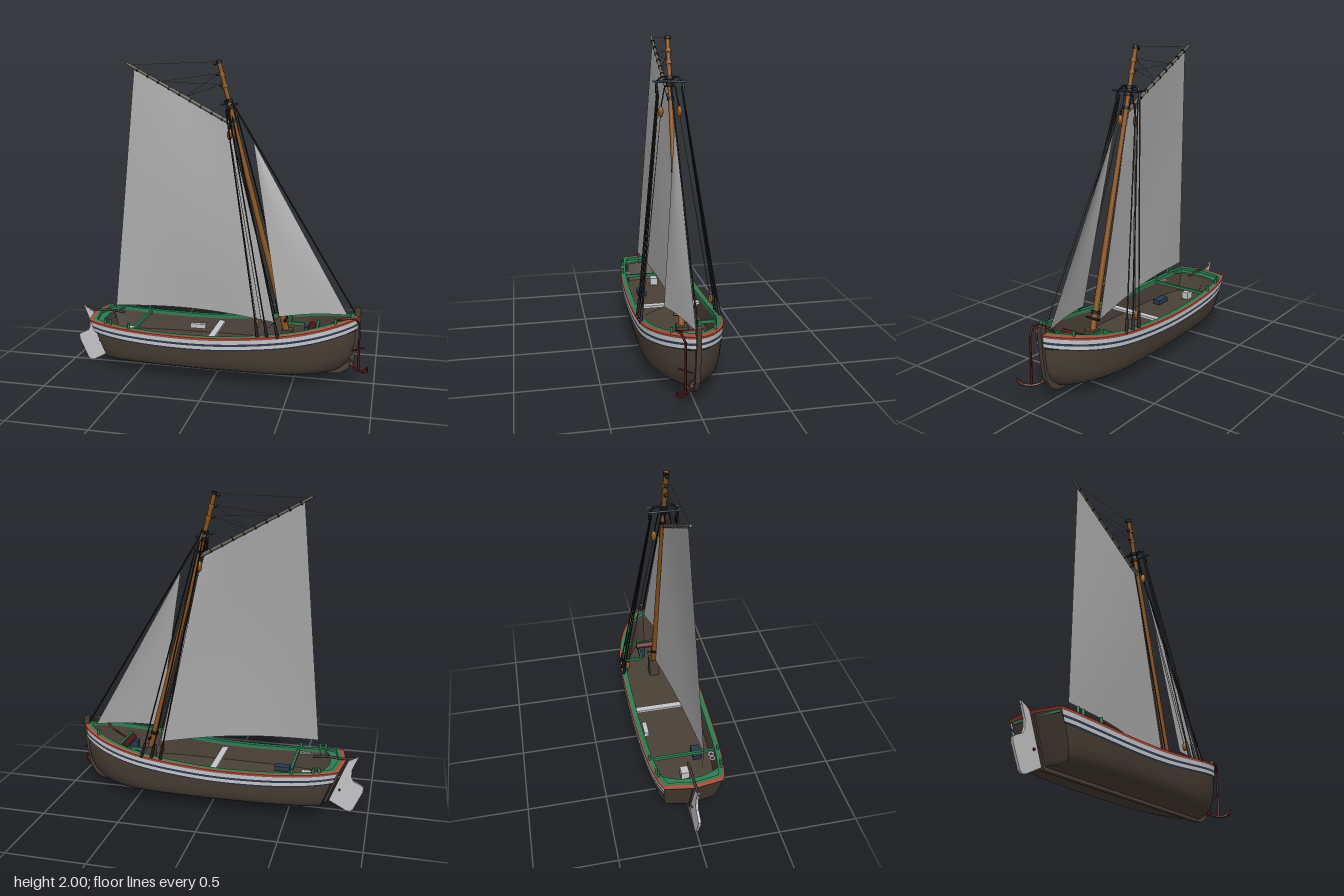
import * as THREE from 'three';
import { toCreasedNormals } from 'three/addons/utils/BufferGeometryUtils.js';

const mat = (name, color, side = THREE.FrontSide) => {
  const m = new THREE.MeshStandardMaterial({ color, side });
  m.name = name;
  return m;
};

export function createModel() {
  const D = THREE.DoubleSide;
  const hullBrown = mat('tarred oak', 0x4a4036, D), canvas = mat('sailcloth', 0xa9a9a9, D);
  const white = mat('white paint', 0xc6c6c8, D), navy = mat('navy paint', 0x2b3a52, D);
  const red = mat('red paint', 0xb04a38, D), green = mat('green paint', 0x2c7d52, D);
  const wood = mat('varnished wood', 0x8a5218), black = mat('black iron and tar', 0x17171a);
  const rust = mat('dark red iron', 0x4d1613), hemp = mat('hemp rope', 0x6b665e);

  const root = new THREE.Group();
  root.name = 'sailingBoat';
  const V = (p) => new THREE.Vector3(...p);
  const add = (name, geo, m, pos = [0, 0, 0]) => {
    const mesh = new THREE.Mesh(geo, m);
    mesh.name = name;
    mesh.position.set(...pos);
    root.add(mesh);
    return mesh;
  };
  const box = (name, size, pos, m) => add(name, new THREE.BoxGeometry(...size), m, pos);
  const post = (name, r, h, pos, m) => add(name, new THREE.CylinderGeometry(r, r, h, 10), m, pos);
  // Straight spar or rope between two points
  const rod = (name, a, b, r0, r1, m, sides = 6) => {
    const from = V(a), to = V(b), dir = to.clone().sub(from);
    const mesh = add(name, new THREE.CylinderGeometry(r1, r0, dir.length(), sides), m);
    mesh.position.copy(from).add(to).multiplyScalar(0.5);
    mesh.quaternion.setFromUnitVectors(new THREE.Vector3(0, 1, 0), dir.normalize());
    return mesh;
  };
  const bent = (name, pts, r, m) =>
    add(name, new THREE.TubeGeometry(new THREE.CatmullRomCurve3(pts.map(V)), 20, r, 6), m);

  // Hull plan at the rail: transom centre, transom corner, then the side to the stem
  const spline = (pts) => new THREE.SplineCurve(pts.map((p) => new THREE.Vector2(...p)));
  const side = spline([[-0.8, 0.178], [-0.7, 0.207], [-0.5, 0.233], [-0.2, 0.246], [0.1, 0.25], [0.35, 0.248],
    [0.52, 0.229], [0.68, 0.178], [0.79, 0.115], [0.86, 0.052], [0.885, 0]]).getPoints(44);
  const stations = [new THREE.Vector2(-0.83, 0), ...side];
  const sheerCurve = spline([[-0.83, 0.345], [-0.6, 0.318], [-0.3, 0.303], [0, 0.306], [0.3, 0.333],
    [0.6, 0.377], [0.885, 0.438]]).getPoints(80);
  const sheer = (x) => {
    const i = Math.max(1, sheerCurve.findIndex((p) => p.x >= x));
    const a = sheerCurve[i - 1], b = sheerCurve[i];
    return a.y + (b.y - a.y) * (x - a.x) / (b.x - a.x);
  };
  const KEEL = 0.075;
  // Point on the hull: h is the height fraction, f the width fraction, out a scale in plan
  const at = (s, h, f, out = 1, lift = 0) => {
    const low = Math.max(0, 1 - h);
    const rake = s.x < 0 ? -0.12 * low * s.x : -0.13 * Math.pow(low, 5) * Math.pow(s.x / 0.885, 2);
    return [(s.x + rake) * out, KEEL + h * (sheer(s.x) - KEEL) + lift, s.y * f * out];
  };
  // Mirrored surface over stations and rows
  const loft = (name, sts, rows, m, crease = 0.6) => {
    const pos = [], idx = [], n = rows.length;
    for (const sgn of [1, -1]) {
      const base = pos.length / 3;
      sts.forEach((s) => rows.forEach((row) => {
        const [x, y, z] = row(s);
        pos.push(x, y, z * sgn);
      }));
      for (let i = 0; i < sts.length - 1; i++) for (let j = 0; j < n - 1; j++) {
        const a = base + i * n + j, b = a + n, c = b + 1, d = a + 1;
        if (sgn > 0) idx.push(a, b, d, b, c, d);
        else idx.push(a, d, b, b, d, c);
      }
    }
    const geo = new THREE.BufferGeometry();
    geo.setAttribute('position', new THREE.Float32BufferAttribute(pos, 3));
    geo.setIndex(idx);
    return add(name, toCreasedNormals(geo, crease), m);
  };

  const section = [[0, 0], [0.6, 0.01], [0.78, 0.04], [0.86, 0.09], [0.91, 0.17], [0.95, 0.35],
    [0.985, 0.6], [1, 0.8], [1, 1]];
  loft('hullShell', stations, section.map(([f, h]) => (s) => at(s, h, f)), hullBrown, 0.8);

  // Painted strakes, measured down from the rail
  const below = (d, out) => (s) => at(s, 1 - d / (sheer(s.x) - KEEL), 1, out);
  [['upperWhiteStrake', 0.01, 0.036, white], ['upperNavyStripe', 0.036, 0.05, navy],
    ['lowerWhiteStrake', 0.05, 0.07, white], ['lowerNavyStripe', 0.07, 0.082, navy]].forEach(([name, a, b, m]) =>
    loft(name, side, [below(b, b > 0.08 ? 1.003 : 1.015), below(a, 1.015)], m));
  loft('redGunwale', stations, [below(0.012, 1.016), (s) => at(s, 1, 1, 1.022, 0.003),
    (s) => at(s, 1, 1, 0.99, 0.006)], red);
  const inner = (k, lift) => (s) => [s.x * 0.965, sheer(s.x) + lift, s.y * k];
  loft('greenRail', stations, [(s) => at(s, 1, 1, 0.99, 0.006), inner(0.87, 0.006), inner(0.87, -0.02)], green);
  const floorAt = (k) => (s) => [s.x * (s.x > 0 ? 0.94 : 0.92), 0.185, s.y * k];
  loft('innerPlanking', stations, [inner(0.87, -0.02), floorAt(0.83), floorAt(0)], hullBrown);

  // Keel, stem and rudder as flat cut boards
  const board = (name, pts, t, m) => {
    const geo = new THREE.ExtrudeGeometry(new THREE.Shape(pts.map((p) => new THREE.Vector2(...p))),
      { depth: t, bevelEnabled: false });
    return add(name, geo.translate(0, 0, -t / 2), m);
  };
  board('keel', [[-0.735, 0.055], [0.74, 0.055], [0.74, 0.085], [-0.745, 0.085]], 0.024, hullBrown);
  board('sternPost', [[-0.735, 0.055], [-0.71, 0.055], [-0.81, 0.345], [-0.842, 0.345]], 0.024, hullBrown);
  board('stemPost', [[0.72, 0.055], [0.79, 0.062], [0.84, 0.095], [0.875, 0.16], [0.895, 0.28], [0.908, 0.42],
    [0.908, 0.49], [0.895, 0.498], [0.872, 0.49], [0.862, 0.3], [0.84, 0.17], [0.74, 0.09]], 0.028, hullBrown);
  board('rudder', [[-0.925, 0.382], [-0.86, 0.345], [-0.75, 0.067], [-0.86, 0.008], [-0.885, 0.004], [-0.905, 0.02],
    [-0.962, 0.145], [-0.965, 0.175], [-0.95, 0.188], [-0.9, 0.212], [-0.886, 0.24], [-0.888, 0.29]], 0.016, white);
  const pin = post('rudderPin', 0.008, 0.03, [-0.815, 0.147, 0], rust);
  pin.rotation.x = Math.PI / 2;
  bent('tiller', [[-0.92, 0.368], [-0.83, 0.358], [-0.74, 0.362], [-0.64, 0.352]].map(([x, y]) => [x, y, 0]), 0.008, hullBrown);

  // Decks, beams and thwart
  const sternDeck = [[-0.82, 0], [-0.8, 0.165], [-0.69, 0.19], [-0.72, 0.14], [-0.745, 0.07], [-0.75, 0]];
  board('sternDeck', [...sternDeck, ...sternDeck.slice(1, -1).reverse().map(([x, z]) => [x, -z])], 0.012, green)
    .rotation.x = Math.PI / 2;
  root.getObjectByName('sternDeck').position.y = 0.325;
  box('aftBeam', [0.016, 0.02, 0.44], [-0.52, 0.3, 0], green);
  box('foreBeam', [0.014, 0.02, 0.13], [0.45, 0.33, -0.155], green);
  box('foreCarling', [0.1, 0.02, 0.012], [0.5, 0.33, -0.09], green);
  box('forwardFrame', [0.014, 0.02, 0.4], [0.635, 0.33, 0], green);
  box('thwart', [0.042, 0.016, 0.43], [-0.02, 0.265, 0], white);
  box('sideLocker', [0.105, 0.03, 0.03], [-0.18, 0.235, -0.18], white);
  box('sternLocker', [0.06, 0.05, 0.05], [-0.6, 0.225, -0.01], white);
  box('deckGrating', [0.1, 0.03, 0.055], [-0.43, 0.21, 0.105], navy);
  for (const x of [-0.585, -0.55]) {
    const coil = add('ropeCoil', new THREE.TorusGeometry(0.015, 0.006, 6, 16), white, [x, 0.3, 0.172]);
    coil.rotation.x = Math.PI / 2;
  }
  for (const s of [1, -1]) {
    [[-0.7, 0.197], [-0.665, 0.203], [-0.535, 0.22], [0.76, 0.125]].forEach(([x, z]) =>
      post('bollard', 0.009, 0.05, [x, sheer(x) + 0.016, z * s], green));
    box('windlassCheek', [0.1, 0.07, 0.04], [0.6, 0.29, 0.065 * s], navy);
  }
  rod('windlassDrum', [0.6, 0.33, -0.1], [0.6, 0.33, 0.1], 0.022, 0.022, rust, 12);
  box('mastStep', [0.07, 0.14, 0.07], [0.45, 0.25, 0], hullBrown);

  // Anchor and its cable
  const turn = Math.SQRT1_2;
  const onAnchor = (d, y) => [0.905 + d * turn, y, 0.075 + d * turn];
  rod('anchorShank', onAnchor(0, 0.42), onAnchor(0, 0.115), 0.006, 0.008, rust);
  bent('anchorArms', [[-0.08, 0.15], [-0.05, 0.122], [0, 0.112], [0.05, 0.122], [0.08, 0.15]].map((p) => onAnchor(...p)), 0.008, rust);
  for (const s of [1, -1]) rod('anchorFluke', onAnchor(0.06 * s, 0.125), onAnchor(0.085 * s, 0.165), 0.018, 0.002, rust, 4);
  rod('anchorStock', [0.865, 0.25, 0.11], [0.935, 0.25, 0.04], 0.005, 0.005, rust);
  bent('anchorCable', [[0.6, 0.34, 0.03], [0.66, 0.33, 0.09], [0.74, 0.4, 0.06], [0.8, 0.44, 0.1], [0.87, 0.45, 0.09],
    [0.905, 0.41, 0.075]], 0.007, rust);

  // Raked mast with rings and crosstrees
  const mastAt = (y, z = 0, dx = 0) => [0.43 - (y - 0.36) * 0.262 + dx, y, z];
  rod('mast', mastAt(0.18), mastAt(1.995), 0.021, 0.013, wood, 14);
  [[1.985, 0.018, black], [1.91, 0.019, wood], [1.84, 0.019, wood], [1.75, 0.026, black], [1.71, 0.024, black],
    [1.63, 0.021, black], [0.42, 0.026, black]].forEach(([y, r, m]) =>
    rod('mastBand', mastAt(y - 0.01), mastAt(y + 0.01), r, r, m, 12));
  for (const dx of [-0.03, 0.03]) rod('crosstree', mastAt(1.73, -0.1, dx), mastAt(1.73, 0.1, dx), 0.006, 0.006, navy);
  rod('pinRail', [0.44, 0.385, -0.05], [0.44, 0.385, 0.05], 0.008, 0.008, black);

  // Gaff with lacing and peak halyards
  const gaffAt = (t) => [-0.585 + 0.68 * t, 1.975 - 0.37 * t, 0];
  rod('gaff', gaffAt(0), gaffAt(1), 0.008, 0.012, hemp, 8);
  for (let i = 1; i < 10; i++) rod('gaffLacing', gaffAt(i / 10 - 0.005), gaffAt(i / 10 + 0.005), 0.014, 0.014, black, 8);
  [[0.02, 1.985], [0.3, 1.915], [0.3, 1.85], [0.55, 1.915], [0.55, 1.85]].forEach(([t, y]) =>
    rod('peakHalyard', gaffAt(t), mastAt(y, 0, -0.02), 0.0015, 0.0015, hemp, 4));
  [1.975, 1.91, 1.845].forEach((y) =>
    add('halyardBlock', new THREE.SphereGeometry(0.012, 8, 6), black, mastAt(y, 0, -0.025)));

  // Sails: four-cornered patches with an arched foot and a slight belly
  const sail = (name, [footA, footB, headA, headB], arch, belly) => {
    const geo = new THREE.PlaneGeometry(1, 1, 20, 20), p = geo.attributes.position;
    const [a, b, c, d] = [footA, footB, headA, headB].map(V);
    for (let i = 0; i < p.count; i++) {
      const u = p.getX(i) + 0.5, v = p.getY(i) + 0.5;
      const q = a.clone().lerp(b, u).lerp(c.clone().lerp(d, u), v);
      const su = Math.sin(Math.PI * u);
      p.setXYZ(i, q.x, q.y + arch * su * Math.pow(1 - v, 3), q.z + belly * su * Math.sin(Math.PI * v));
    }
    geo.computeVertexNormals();
    return add(name, geo, canvas);
  };
  sail('mainSail', [[-0.66, 0.43, 0.095], [0.375, 0.355, 0], [-0.54, 1.945, 0], [0.08, 1.605, 0]], 0.035, 0.02);
  sail('foreSail', [[0.41, 0.43, 0.1], [0.825, 0.44, 0], [0.222, 1.5, 0], [0.226, 1.5, 0]], 0.012, 0.012);
  rod('mainSheet', [-0.66, 0.43, 0.095], [-0.68, 0.33, 0.08], 0.002, 0.002, hemp, 4);
  rod('foreSheet', [0.41, 0.43, 0.1], [0.33, 0.35, 0.2], 0.002, 0.002, hemp, 4);

  // Stays and shrouds
  rod('forestay', mastAt(1.74, 0, 0.02), [0.87, 0.46, 0], 0.005, 0.005, black);
  rod('foreSailHalyard', mastAt(1.72, 0, 0.02), [0.224, 1.5, 0], 0.002, 0.002, hemp, 4);
  rod('throatHalyard', mastAt(1.7, 0, -0.03), mastAt(0.42, 0.02, -0.04), 0.003, 0.003, black, 5);
  for (const s of [1, -1]) {
    bent('shroudStrop', [mastAt(1.75, 0), mastAt(1.755, 0.05 * s), mastAt(1.72, 0.08 * s), mastAt(1.66, 0.085 * s)], 0.007, black);
    [0.3, 0.36, 0.425].forEach((x, i) => {
      const top = mastAt(1.7 - i * 0.02, 0.075 * s, -0.015 + i * 0.015), foot = [x, 0.34, 0.243 * s];
      const mid = V(foot).lerp(V(top), 0.07).toArray();
      rod('shroud', mid, top, 0.0045, 0.0045, black);
      rod('shroudTackle', foot, mid, 0.011, 0.008, black, 8);
    });
    const block = add('runnerBlock', new THREE.SphereGeometry(0.017, 10, 8), wood, [0.085, 1.55, 0.058 * s]);
    block.scale.y = 2;
    const low = add('lowerBlock', new THREE.SphereGeometry(0.015, 10, 8), wood, [0.29, 0.41, 0.215 * s]);
    low.scale.y = 2;
    rod('blockStrop', mastAt(1.71, 0.03 * s), [0.085, 1.57, 0.058 * s], 0.004, 0.004, black);
    for (const dx of [-0.01, 0.02])
      rod('runnerFall', [0.085, 1.54, 0.058 * s], [0.3 + dx, 0.42, 0.21 * s], 0.0018, 0.0018, hemp, 4);
  }
  return root;
}
